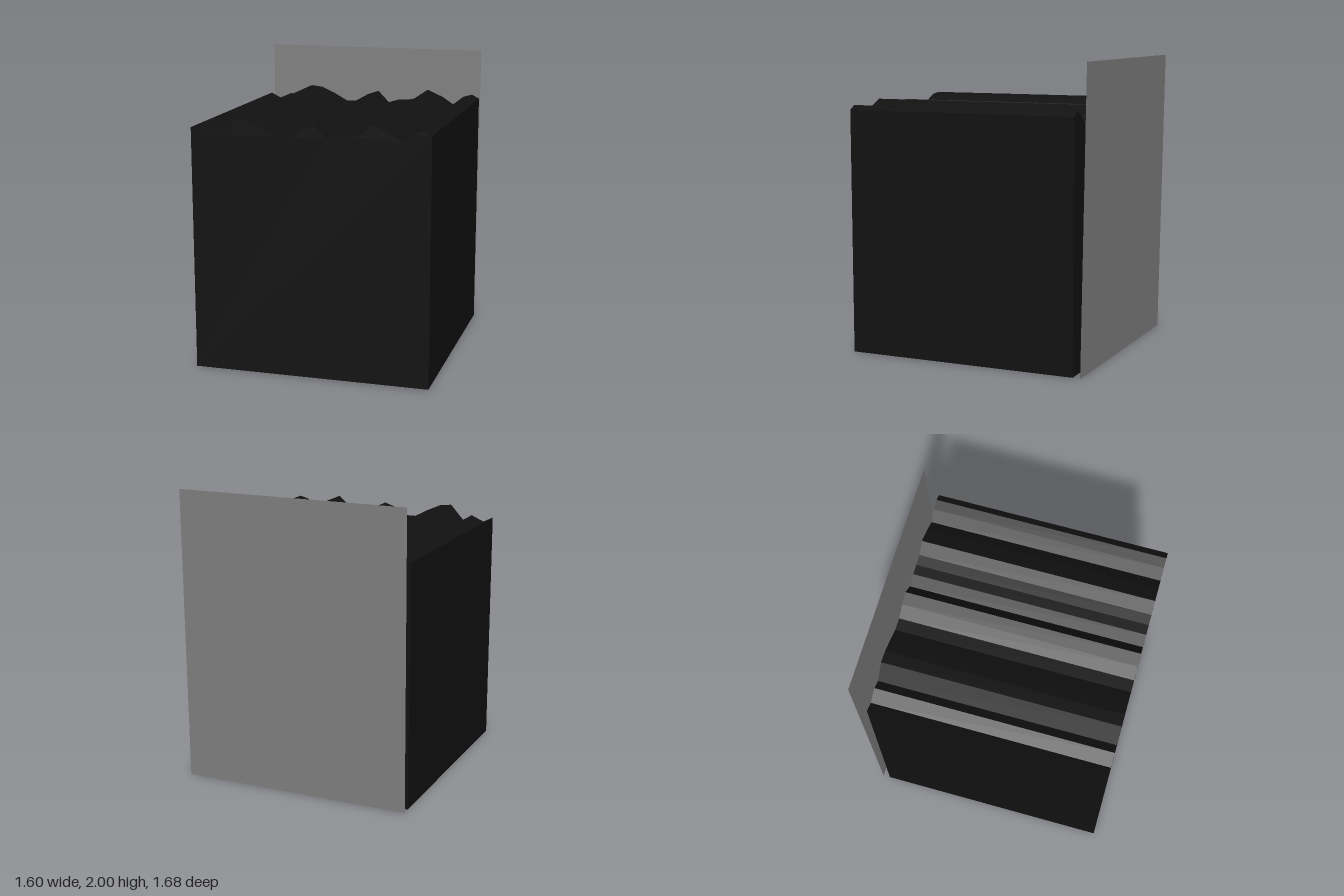
import * as THREE from 'three';

// Ridge line of the block's top, left to right as [x, y]
const RIDGE = [
  [-0.8, 1.64], [-0.73, 1.605], [-0.64, 1.645], [-0.575, 1.605], [-0.48, 1.71],
  [-0.395, 1.7], [-0.295, 1.655], [-0.205, 1.605], [-0.12, 1.605], [-0.04, 1.66],
  [0.04, 1.687], [0.12, 1.605], [0.2, 1.63], [0.27, 1.632], [0.34, 1.645],
  [0.415, 1.71], [0.53, 1.66], [0.613, 1.605], [0.68, 1.668], [0.745, 1.687], [0.797, 1.66],
];
const BASE = 0.005, BACK = -0.76, FRONT = 0.84;

export function createModel() {
  const model = new THREE.Group();

  // Solid block with a jagged top, extruded from back to front
  const shape = new THREE.Shape();
  shape.moveTo(-0.8, BASE);
  shape.lineTo(0.797, BASE);
  for (const [x, y] of [...RIDGE].reverse()) shape.lineTo(x, y);
  shape.closePath();
  const blockGeometry = new THREE.ExtrudeGeometry(shape, { depth: FRONT - BACK, bevelEnabled: false });
  const block = new THREE.Mesh(
    blockGeometry,
    new THREE.MeshStandardMaterial({ color: 0x111111, flatShading: true })
  );
  block.name = 'ridgedBlock';
  block.position.z = BACK;
  model.add(block);

  // Thin panel behind the block, leaning slightly backwards
  const lean = 0.03;
  const panel = new THREE.Mesh(
    new THREE.PlaneGeometry(1.592, Math.hypot(2, lean)),
    new THREE.MeshStandardMaterial({ color: 0x808080, side: THREE.DoubleSide })
  );
  panel.name = 'backPanel';
  panel.position.set(-0.004, 1, -0.825);
  panel.rotation.x = -Math.atan2(lean, 2);
  model.add(panel);

  return model;
}
